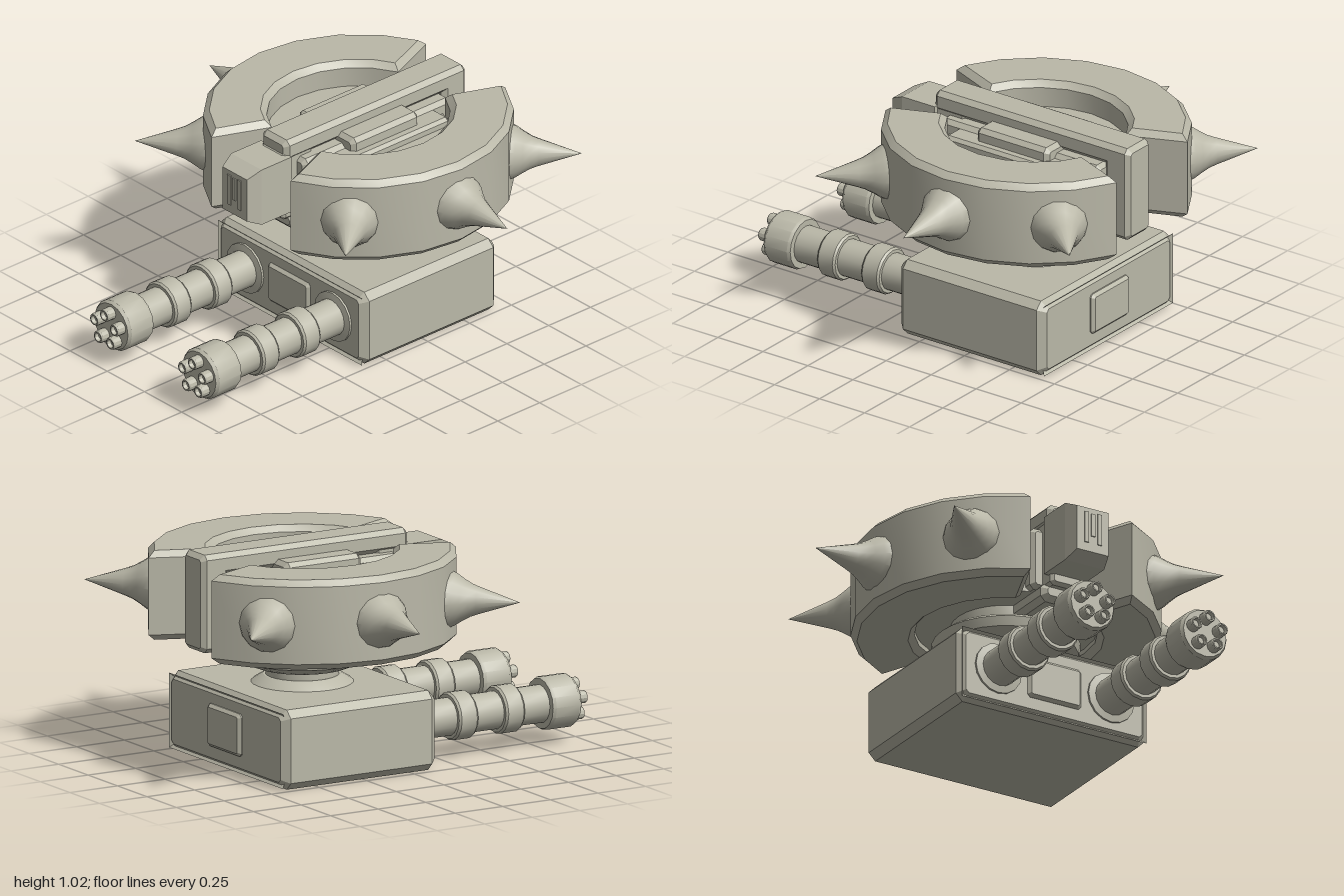
import * as THREE from 'three';
import { toCreasedNormals } from 'three/addons/utils/BufferGeometryUtils.js';

const ZC = -0.28; // axis of the rotating head

export function createModel() {
  const model = new THREE.Group();
  const stone = new THREE.MeshStandardMaterial({ color: 0xbab8a8 });
  stone.name = 'warm grey';

  const add = (name, geo, x = 0, y = 0, z = 0, parent = model) => {
    const mesh = new THREE.Mesh(toCreasedNormals(geo, 0.5), stone);
    mesh.name = name;
    mesh.position.set(x, y, z);
    parent.add(mesh);
    return mesh;
  };

  // Rectangle with cut corners
  const cutRect = (T, w, h, c) => {
    const a = w / 2, b = h / 2, s = new T();
    s.setFromPoints([[c - a, -b], [a - c, -b], [a, c - b], [a, b - c], [a - c, b], [c - a, b], [-a, b - c], [-a, c - b]]
      .map(([x, y]) => new THREE.Vector2(x, y)));
    s.closePath();
    return s;
  };

  // Chamfered block along z, centred, with an optional rectangular opening
  const block = (w, h, d, c, holeW, holeH) => {
    const shape = cutRect(THREE.Shape, w, h, c);
    if (holeW) {
      const a = holeW / 2, b = holeH / 2;
      const hole = new THREE.Path();
      hole.moveTo(-a, -b).lineTo(-a, b).lineTo(a, b).lineTo(a, -b).closePath();
      shape.holes.push(hole);
    }
    const geo = new THREE.ExtrudeGeometry(shape, {
      depth: d - 2 * c, bevelThickness: c, bevelSize: c, bevelOffset: -c, bevelSegments: 1,
    });
    return geo.translate(0, 0, c - d / 2);
  };

  // Turned part from [radius, height] pairs, listed from bottom to top
  const turned = (pts, sides = 24) =>
    new THREE.LatheGeometry(pts.map(([r, y]) => new THREE.Vector2(r, y)), sides);

  // Base housing: chamfered frame with sunken front and back walls
  add('baseFrame', block(0.99, 0.365, 0.81, 0.034, 0.9, 0.275), 0, 0.1825, -0.275);
  add('baseCore', new THREE.BoxGeometry(0.93, 0.3, 0.76), 0, 0.1825, -0.275);
  for (const [z, d] of [[0.115, 0.06], [-0.67, 0.06]]) {
    add('panelFrame', block(0.28, 0.195, d, 0.014, 0.22, 0.135), 0, 0.187, z);
    add('panelInset', new THREE.BoxGeometry(0.24, 0.15, d - 0.03), 0, 0.187, z);
  }

  // Swivel between base and head
  add('swivel', turned([
    [0, 0.35], [0.235, 0.36], [0.225, 0.37], [0.175, 0.4], [0.165, 0.4], [0.165, 0.44], [0.215, 0.44],
    [0.325, 0.485], [0.335, 0.53], [0.31, 0.55], [0.25, 0.56], [0.25, 0.62], [0, 0.62],
  ], 28), 0, 0, ZC);

  // Twin rotary guns
  const gunProfile = [
    [0, 0.08], [0.12, 0.08], [0.12, 0.14], [0.087, 0.145],
    ...[0.3, 0.545].flatMap((z) => [[0.087, z], [0.102, z], [0.11, z + 0.01], [0.11, z + 0.09], [0.102, z + 0.1], [0.087, z + 0.1]]),
    [0.087, 0.785], [0.115, 0.785], [0.122, 0.8], [0.122, 0.92], [0.112, 0.935], [0, 0.935],
  ];
  for (const side of [-1, 1]) {
    const gun = new THREE.Group();
    gun.name = side > 0 ? 'leftGun' : 'rightGun';
    gun.position.set(0.295 * side, 0.187, 0);
    model.add(gun);
    add('gunBody', turned(gunProfile, 16).rotateX(Math.PI / 2), 0, 0, 0, gun);
    for (let i = 0; i < 5; i++) {
      const a = Math.PI / 2 + (i * 2 * Math.PI) / 5;
      const tip = turned([[0.03, 0.92], [0.03, 0.973], [0.026, 0.98], [0.02, 0.98], [0.018, 0.96], [0, 0.96]], 12);
      add('barrelTip', tip.rotateX(Math.PI / 2), 0.07 * Math.cos(a), 0.07 * Math.sin(a), 0, gun);
    }
  }

  // Two armour crescents around the head
  const crescent = () => {
    const pts = [], end = (67.5 * Math.PI) / 180, n = 8;
    for (let k = 0; k <= n; k++) {
      const a = -end + (2 * end * k) / n;
      pts.push(new THREE.Vector2(0.695 * Math.cos(a), 0.695 * Math.sin(a)));
    }
    for (let k = n; k >= 0; k--) {
      const a = -end + (2 * end * k) / n;
      pts.push(new THREE.Vector2(0.41 * Math.cos(a), 0.41 * Math.sin(a)));
    }
    const c = 0.028;
    return new THREE.ExtrudeGeometry(new THREE.Shape(pts), {
      depth: 0.41 - 2 * c, bevelThickness: c, bevelSize: c, bevelOffset: -c, bevelSegments: 1,
    }).rotateX(-Math.PI / 2).translate(0, c, 0);
  };
  const spikeProfile = [[0.135, 0.62], [0.133, 0.67], [0.118, 0.705], [0.095, 0.74], [0.075, 0.775], [0.062, 0.81], [0, 1]];
  for (const half of [0, Math.PI]) {
    const armour = new THREE.Group();
    armour.name = half ? 'rightArmour' : 'leftArmour';
    armour.position.z = ZC;
    armour.rotation.y = half;
    model.add(armour);
    add('crescent', crescent(), 0, 0.57, 0, armour);
    for (const a of [-Math.PI / 4, 0, Math.PI / 4]) {
      const spike = add('spike', turned(spikeProfile, 14).rotateZ(-Math.PI / 2), 0, 0.775, 0, armour);
      spike.rotation.y = a;
    }
  }

  // Inner mechanism
  add('headCore', new THREE.CylinderGeometry(0.41, 0.41, 0.24, 24), 0, 0.74, ZC);
  add('coreSlab', block(0.47, 0.26, 0.68, 0.015), 0, 0.77, ZC);
  add('centralBlock', block(0.27, 0.3, 0.88, 0.02), 0, 0.77, ZC);
  add('topBox', block(0.38, 0.12, 0.4, 0.02), 0, 0.9, ZC);

  // Top rail with a post dropping down at the back
  add('topRail', block(0.175, 0.1, 1.085, 0.022), 0, 0.97, -0.3125);
  add('backPost', block(0.175, 0.43, 0.14, 0.022), 0, 0.785, -0.785);
  add('frontPost', block(0.16, 0.34, 0.18, 0.015), 0, 0.79, 0.15);
  add('lowerBracket', block(0.2, 0.09, 0.3, 0.025), 0, 0.6, 0.05);

  // Front sight: block with a tapered face and a slotted plate
  add('sightBody', new THREE.BoxGeometry(0.205, 0.28, 0.18), 0, 0.81, 0.3);
  const face = new THREE.BoxGeometry(0.205, 0.28, 0.07);
  const p = face.attributes.position;
  for (let i = 0; i < p.count; i++) {
    if (p.getZ(i) > 0) p.setXY(i, p.getX(i) * 0.8, p.getY(i) * 0.76);
  }
  add('sightFace', face, 0, 0.81, 0.425);
  for (const x of [-0.034, 0.034]) add('slotEdge', new THREE.BoxGeometry(0.022, 0.15, 0.008), x, 0.82, 0.462);
  add('slotBar', new THREE.BoxGeometry(0.02, 0.11, 0.008), 0, 0.835, 0.462);

  return model;
}
